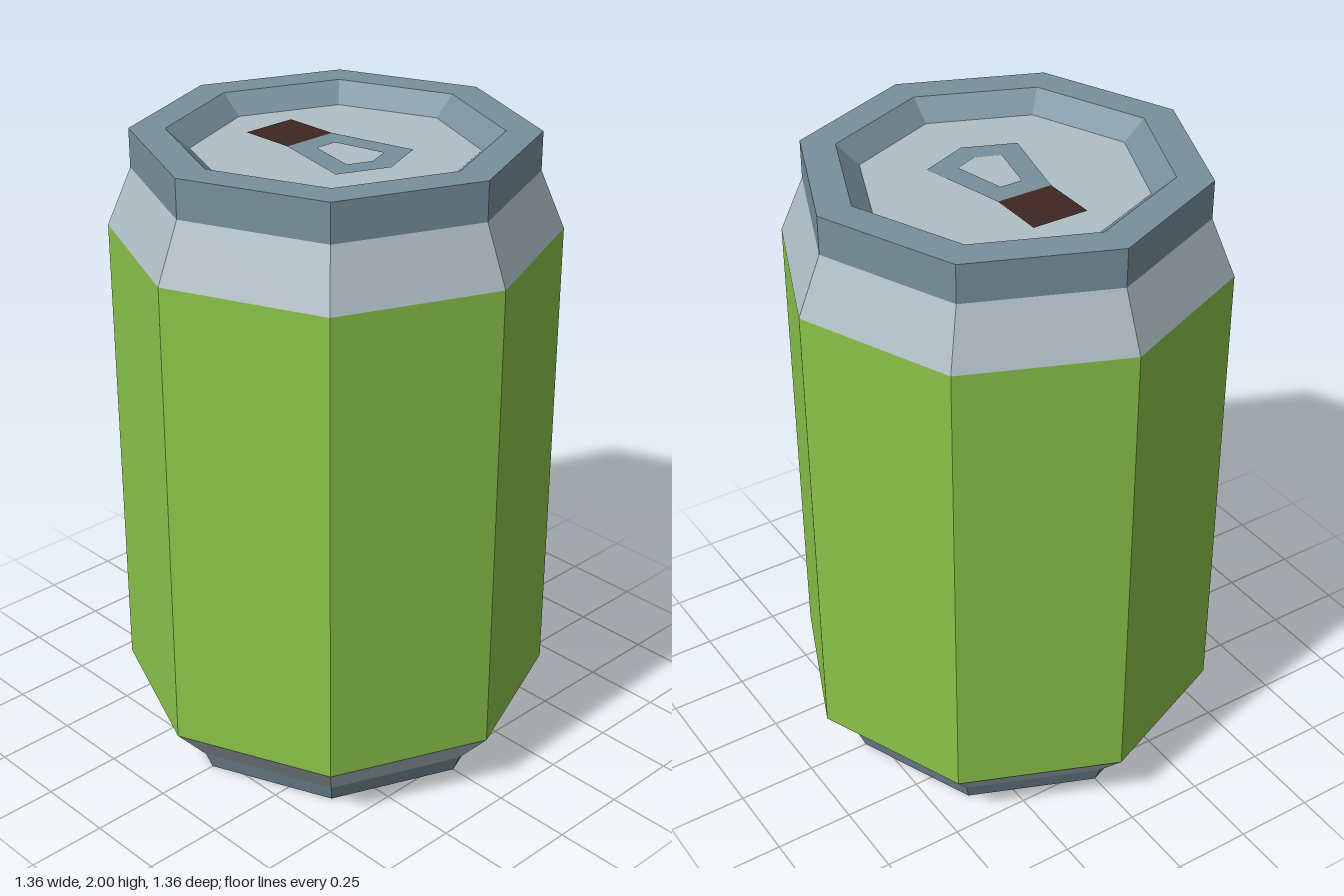
import * as THREE from 'three';

const material = (color) => new THREE.MeshStandardMaterial({ color, flatShading: true });
const steel = material(0x78909c);
const aluminium = material(0xb0bec5);
const green = material(0x8bc34a);
const dark = material(0x3e2723);

const FLOOR = 1.94; // height of the recessed lid
const points = (list) => list.map(([x, y]) => new THREE.Vector2(x, y));

// Eight-sided band turned from [radius, height] pairs
function band(name, profile, mat) {
  const mesh = new THREE.Mesh(new THREE.LatheGeometry(points(profile), 8), mat);
  mesh.name = name;
  return mesh;
}

// Flat cut-out lying just above the lid
function decal(name, shape, mat) {
  const mesh = new THREE.Mesh(new THREE.ShapeGeometry(shape), mat);
  mesh.name = name;
  mesh.rotation.x = -Math.PI / 2;
  mesh.position.y = FLOOR + 0.003;
  return mesh;
}

export function createModel() {
  const can = new THREE.Group();
  can.name = 'drinkCan';

  // Body, from the foot upwards
  can.add(
    band('base', [[0, 0], [0.545, 0], [0.57, 0.06]], steel),
    band('lowerTaper', [[0.57, 0.06], [0.68, 0.185]], aluminium),
    band('body', [[0.68, 0.185], [0.68, 1.7]], green),
    band('shoulder', [[0.68, 1.7], [0.605, 1.88]], aluminium),
    band('rim', [[0.605, 1.88], [0.605, 2], [0.497, 2], [0.428, FLOOR]], steel),
    band('lid', [[0.428, FLOOR], [0, FLOOR]], aluminium)
  );

  // Drinking hole
  can.add(decal('opening', new THREE.Shape(points(
    [[-0.29, -0.09], [-0.11, -0.09], [-0.11, 0.09], [-0.29, 0.09]])), dark));

  // Pull tab with its finger hole
  const tab = new THREE.Shape(points(
    [[-0.11, -0.09], [0.165, -0.157], [0.23, 0], [0.165, 0.157], [-0.11, 0.09]]));
  tab.holes.push(new THREE.Path(points(
    [[-0.04, -0.036], [-0.04, 0.036], [0.125, 0.075], [0.155, 0], [0.125, -0.075]])));
  can.add(decal('pullTab', tab, steel));

  return can;
}
